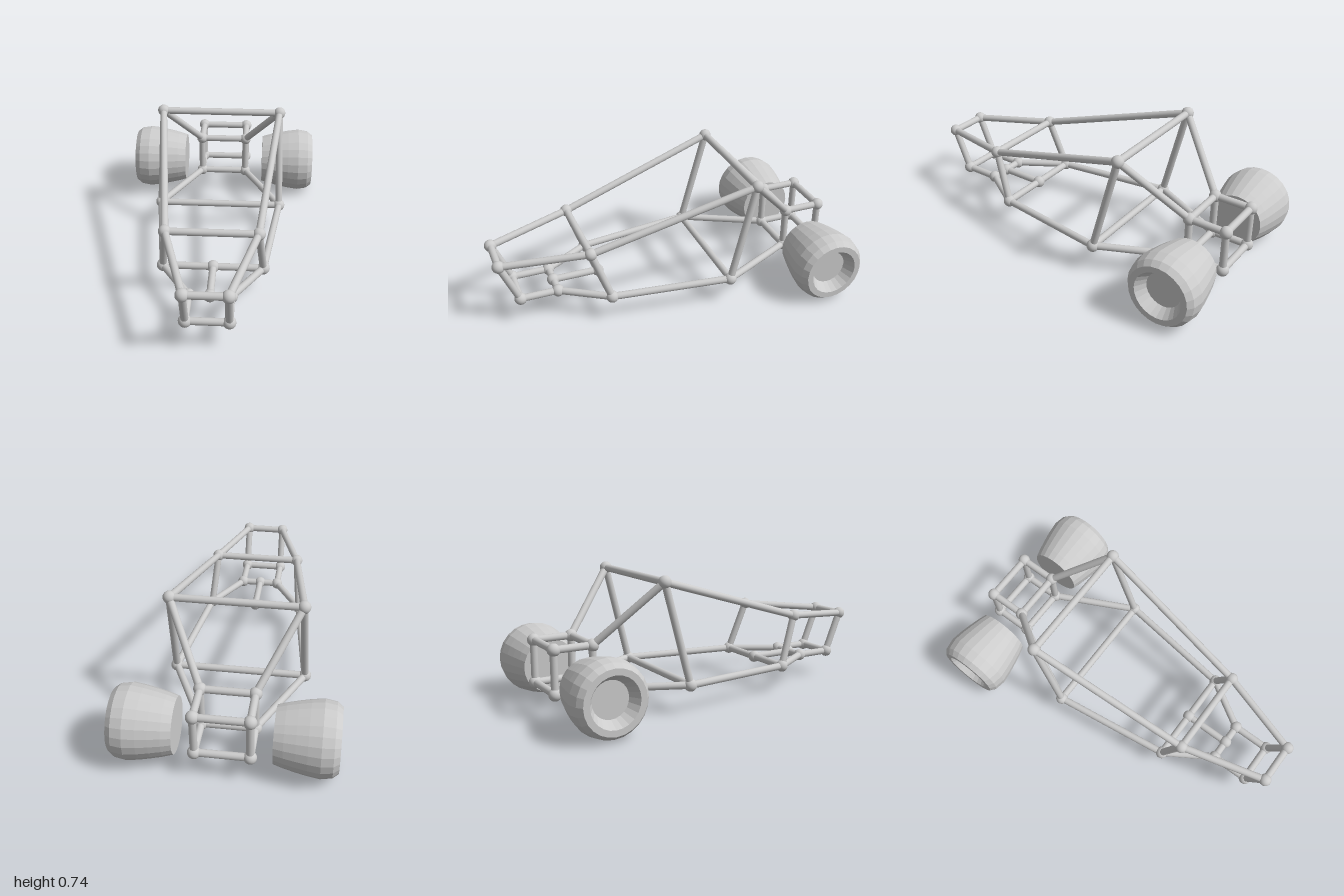
import * as THREE from 'three';

const TUBE_R = 0.02, JOINT_R = 0.034;

// Joints of the frame on the left (+x) half; the mirror gives the right half
const joints = {
  noseTop: [0.11, 0.38, 0.96],
  noseLow: [0.11, 0.15, 0.863],
  pedal: [0.11, 0.15, 0.655],
  pedalMid: [0, 0.15, 0.655],
  floorFront: [0.272, 0.15, 0.395],
  floorFrontMid: [0, 0.15, 0.395],
  dash: [0.243, 0.43, 0.495],
  roof: [0.345, 0.705, -0.41],
  floorRear: [0.36, 0.155, -0.27],
  engineLow: [0.14, 0.15, -0.72],
  engineTop: [0.14, 0.38, -0.72],
  tailTop: [0.14, 0.38, -0.93],
  tailLow: [0.14, 0.15, -0.93],
};

// Tubes running along one side (built on both)
const sideTubes = [
  ['noseTop', 'noseLow'], ['noseLow', 'pedal'], ['pedal', 'floorFront'],
  ['noseTop', 'dash'], ['dash', 'floorFront'], ['dash', 'roof'],
  ['roof', 'floorRear'], ['floorFront', 'floorRear'], ['floorRear', 'engineLow'],
  ['roof', 'engineTop'], ['engineLow', 'engineTop'], ['engineTop', 'tailTop'],
  ['tailTop', 'tailLow'], ['tailLow', 'engineLow'],
];

// Joints tied straight across to their mirror image
const crossTubes = ['noseTop', 'noseLow', 'pedal', 'floorFront', 'dash', 'roof',
  'floorRear', 'engineLow', 'engineTop', 'tailTop', 'tailLow'];

const point = (name, side = 1) => {
  const [x, y, z] = joints[name];
  return new THREE.Vector3(x * side, y, z);
};

export function createModel() {
  const model = new THREE.Group();
  model.name = 'buggy';
  const smooth = new THREE.MeshStandardMaterial({ color: 0xcccccc });
  const faceted = new THREE.MeshStandardMaterial({ color: 0xcccccc, flatShading: true });

  const frame = new THREE.Group();
  frame.name = 'tubeFrame';
  model.add(frame);

  const addTube = (a, b, name) => {
    const dir = b.clone().sub(a);
    const tube = new THREE.Mesh(
      new THREE.CylinderGeometry(TUBE_R, TUBE_R, dir.length(), 16), smooth);
    tube.position.copy(a).add(b).multiplyScalar(0.5);
    tube.position.copy(a.clone().lerp(b, 0.5));
    tube.quaternion.setFromUnitVectors(new THREE.Vector3(0, 1, 0), dir.normalize());
    tube.name = name;
    frame.add(tube);
  };

  // Side rails, posts and braces
  for (const side of [1, -1]) {
    for (const [a, b] of sideTubes) addTube(point(a, side), point(b, side), `${a}To${b}Tube`);
  }

  // Cross members and the centre floor tube
  for (const n of crossTubes) addTube(point(n, 1), point(n, -1), `${n}CrossTube`);
  addTube(point('pedalMid'), point('floorFrontMid'), 'centreFloorTube');

  // Ball joints
  const ball = new THREE.SphereGeometry(JOINT_R, 20, 14);
  for (const n of Object.keys(joints)) {
    for (const side of joints[n][0] === 0 ? [1] : [1, -1]) {
      const joint = new THREE.Mesh(ball, smooth);
      joint.position.copy(point(n, side));
      joint.name = `${n}Joint`;
      frame.add(joint);
    }
  }

  // Rear wheels: tapered barrel, closed inside, dished hub outside
  const profile = [
    [0, 0], [0.148, 0], [0.163, 0.05], [0.177, 0.11], [0.189, 0.17], [0.198, 0.235],
    [0.188, 0.295], [0.165, 0.325], [0.132, 0.325], [0.097, 0.265], [0, 0.265],
  ].map(([r, h]) => new THREE.Vector2(r, h));
  for (const side of [1, -1]) {
    const wheel = new THREE.Mesh(new THREE.LatheGeometry(profile, 24), faceted);
    wheel.rotation.z = -side * Math.PI / 2;
    wheel.position.set(side * 0.25, 0.2, -0.802);
    wheel.name = side > 0 ? 'leftRearWheel' : 'rightRearWheel';
    model.add(wheel);
  }
  return model;
}
